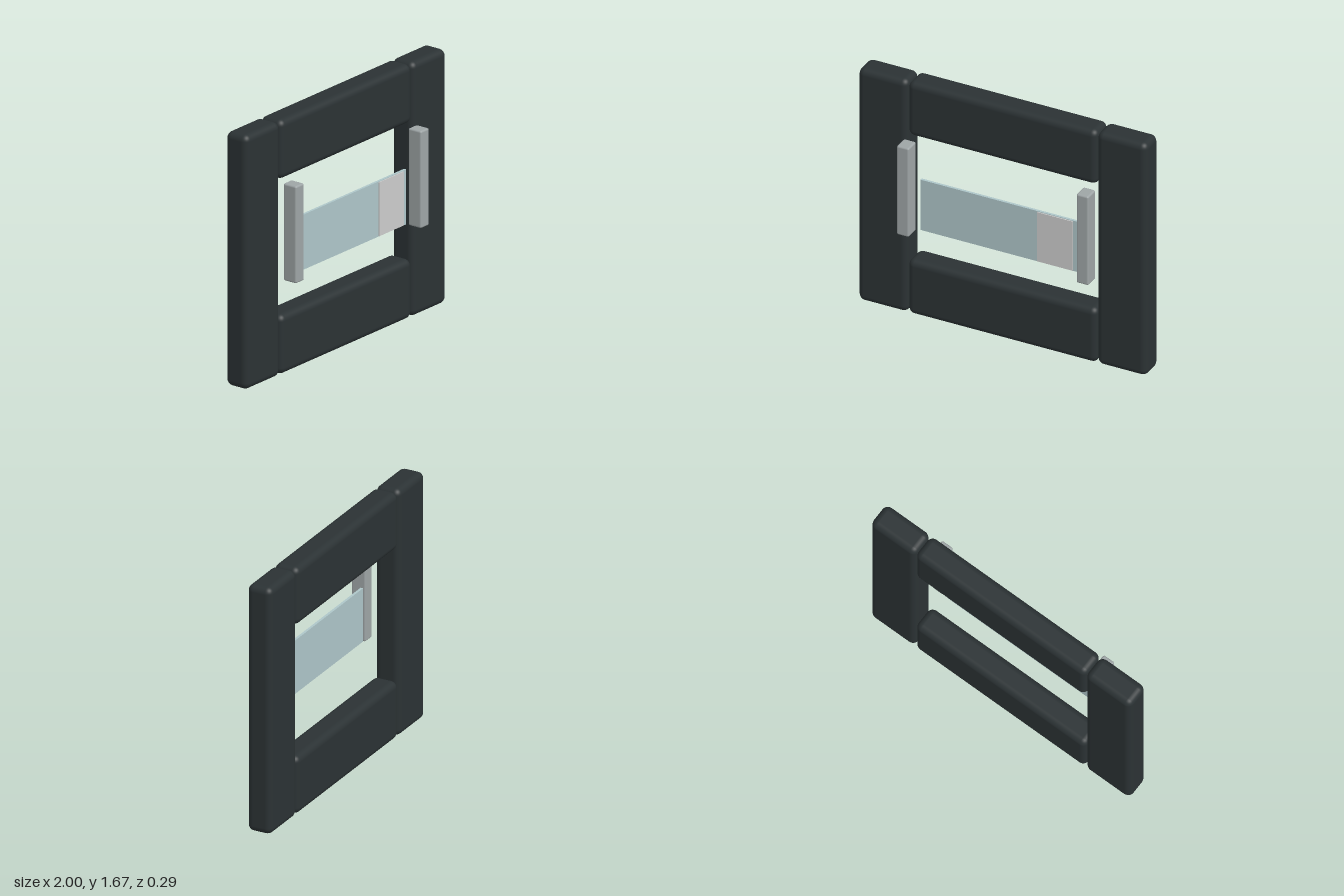
import * as THREE from 'three';
import { RoundedBoxGeometry } from 'three/addons/geometries/RoundedBoxGeometry.js';

const frameMat = new THREE.MeshStandardMaterial({ color: 0x2b3234 });
const clipMat = new THREE.MeshStandardMaterial({ color: 0x9ea5a6 });
const glassMat = new THREE.MeshStandardMaterial({ color: 0xaec6c9 });
const labelMat = new THREE.MeshStandardMaterial({ color: 0xc8c8c8 });

// Box given by its extents on each axis; rounded when a radius is given
function block(name, [x0, x1], [y0, y1], [z0, z1], material, radius = 0) {
  const size = [x1 - x0, y1 - y0, z1 - z0];
  const geometry = radius
    ? new RoundedBoxGeometry(...size, 4, radius)
    : new THREE.BoxGeometry(...size);
  const mesh = new THREE.Mesh(geometry, material);
  mesh.name = name;
  mesh.position.set((x0 + x1) / 2, (y0 + y1) / 2, (z0 + z1) / 2);
  return mesh;
}

export function createModel() {
  const model = new THREE.Group();
  model.name = 'slideHolder';

  // Padded frame: two cross bars between two uprights
  const frame = new THREE.Group();
  frame.name = 'frame';
  const depth = [-0.147, 0.023];
  frame.add(
    block('topBar', [-0.655, 0.655], [1.28, 1.667], depth, frameMat, 0.043),
    block('bottomBar', [-0.655, 0.655], [0, 0.39], depth, frameMat, 0.043)
  );

  // Uprights and side clips, one of each per side
  const clips = new THREE.Group();
  clips.name = 'clips';
  for (const [side, s] of [['left', 1], ['right', -1]]) {
    const span = (a, b) => (s > 0 ? [a, b] : [-b, -a]);
    frame.add(block(side + 'Upright', span(0.655, 1), [0, 1.667], depth, frameMat, 0.043));
    clips.add(block(side + 'Clip', span(0.58, 0.664), [0.635, 1.272], [0.046, 0.147], clipMat, 0.012));
  }

  // Thin glass slide with a frosted label patch on its front
  const slide = new THREE.Group();
  slide.name = 'slide';
  slide.add(
    block('glass', [-0.543, 0.543], [0.655, 1.016], [0.043, 0.06], glassMat),
    block('labelPatch', [0.267, 0.513], [0.659, 1.012], [0.06, 0.067], labelMat)
  );

  model.add(frame, clips, slide);
  return model;
}
